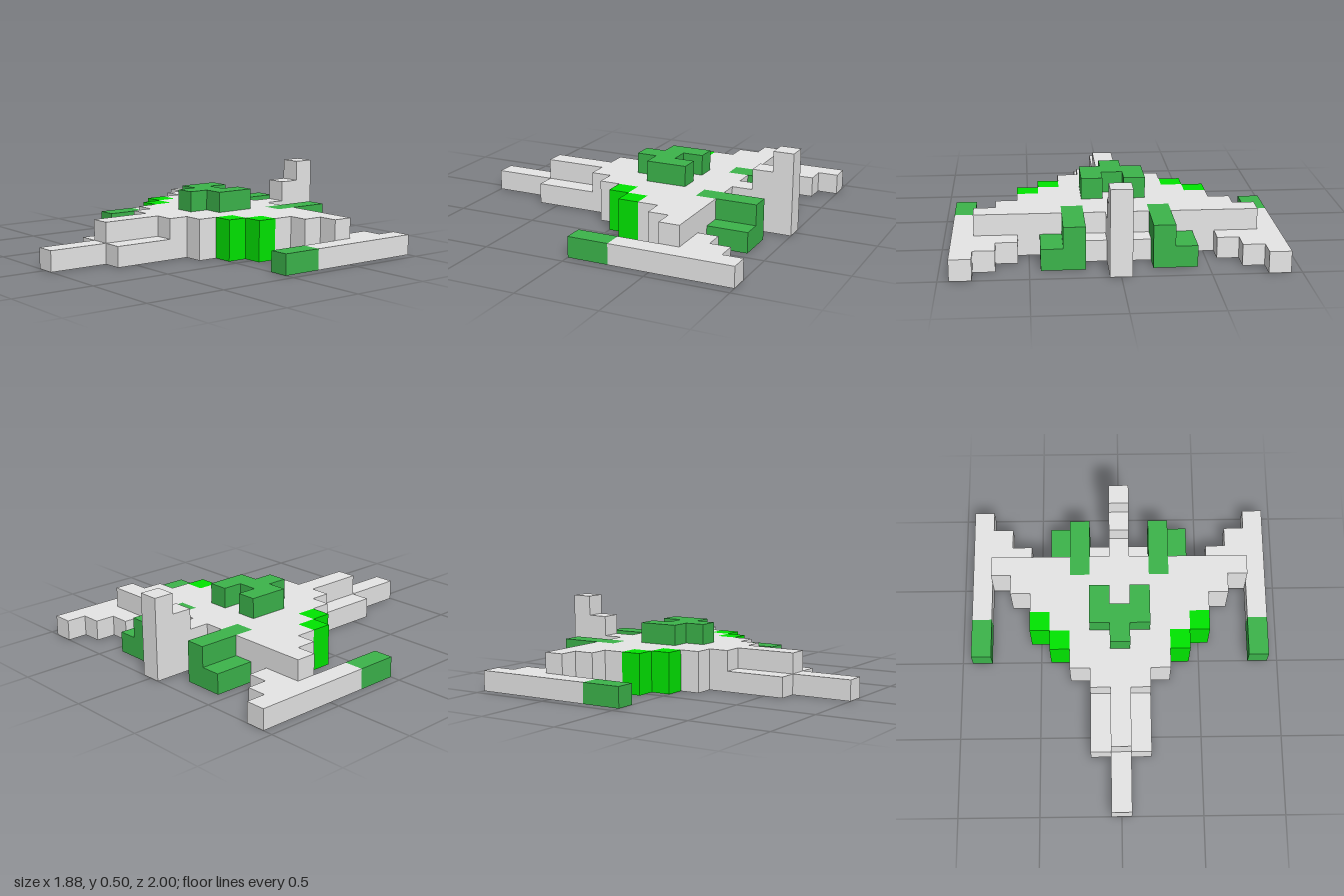
import * as THREE from 'three';

export function createModel() {
  const model = new THREE.Group();
  model.name = 'blockStarship';

  const mat = (name, color) => {
    const m = new THREE.MeshStandardMaterial({ color });
    m.name = name;
    return m;
  };
  const grey = mat('hullGrey', 0xe6e6e6);
  const green = mat('trimGreen', 0x3cb44b);
  const bright = mat('brightGreen', 0x00e600);
  const black = mat('undersideBlack', 0x000000);

  const U = 0.125; // one block

  // Box from min/max block coordinates; blocks resting on y = 0 get a black underside
  function block(name, m, x0, x1, y0, y1, z0, z1) {
    const geo = new THREE.BoxGeometry((x1 - x0) * U, (y1 - y0) * U, (z1 - z0) * U);
    const mesh = new THREE.Mesh(geo, y0 === 0 ? [m, m, m, black, m, m] : m);
    mesh.position.set((x0 + x1) / 2 * U, (y0 + y1) / 2 * U, (z0 + z1) / 2 * U);
    mesh.name = name;
    model.add(mesh);
  }
  // The same block on both sides of the ship
  function pair(name, m, x0, x1, ...rest) {
    block(name + 'Left', m, x0, x1, ...rest);
    block(name + 'Right', m, -x1, -x0, ...rest);
  }

  // Central spine, nose and rising tail fin
  block('spine', grey, -0.5, 0.5, 0, 2, -6, 5);
  block('noseTip', grey, -0.5, 0.5, 0, 1, 5, 8);
  block('tailFinStep', grey, -0.5, 0.5, 0, 3, -7, -6);
  block('tailFin', grey, -0.5, 0.5, 0, 4, -8, -7);

  // Body beside the spine
  pair('body', grey, 0.5, 1.5, 0, 2, -5, 2);
  pair('noseRail', grey, 0.5, 1.5, 0, 1, 2, 5);
  pair('tailShoulder', grey, 0.5, 1.5, 0, 1, -6, -5);

  // Wing columns, each stepping back: [inner x, rear z, front z]
  for (const [x, back, front] of [[1.5, -4, 1], [2.5, -5, -1], [3.5, -5, -2], [4.5, -5, -3], [5.5, -5, -4]]) {
    pair('wing', grey, x, x + 1, 0, 2, back, front);
  }
  // Low flares behind the wings
  pair('innerFlare', grey, 4.5, 5.5, 0, 1, -6, -5);
  pair('outerFlare', grey, 5.5, 6.5, 0, 1, -7, -5);

  // Bright blocks on the leading edges
  pair('innerLeadingLight', bright, 2.5, 3.5, 0, 2, -1, 0);
  pair('outerLeadingLight', bright, 3.5, 4.5, 0, 2, -2, -1);

  // Wingtip pods with green tips
  pair('wingtipPod', grey, 6.5, 7.5, 0, 1, -8, -2);
  pair('wingtipCannon', green, 6.5, 7.5, 0, 1, -2, 0);

  // Engines: tall inner block set into the hull, low outer block
  pair('innerEngine', green, 1.5, 2.5, 0, 2, -7, -4);
  pair('outerEngine', green, 2.5, 3.5, 0, 1, -7, -5);

  // Cockpit on top
  block('cockpitCentre', green, -0.5, 0.5, 2, 3, -2, 0);
  pair('cockpitSide', green, 0.5, 1.5, 2, 3, -3, -1);

  return model;
}
